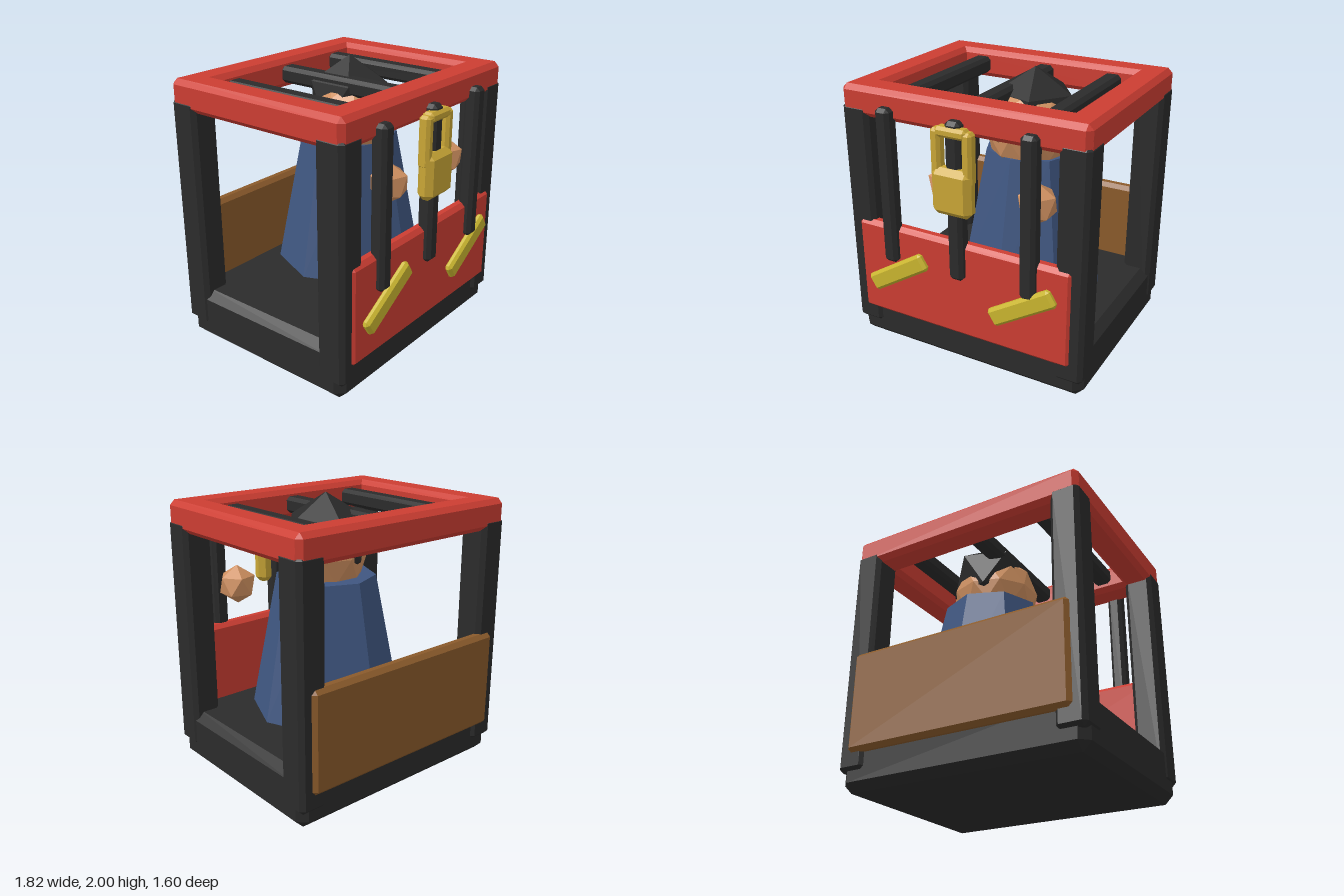
import * as THREE from 'three';
import { ConvexGeometry } from 'three/addons/geometries/ConvexGeometry.js';

const paint = (name, color) => {
  const m = new THREE.MeshStandardMaterial({ color });
  m.name = name;
  return m;
};

// Box with every edge cut at 45 degrees
function chamferBox(w, h, d, c) {
  const pts = [];
  for (const x of [-1, 1]) for (const y of [-1, 1]) for (const z of [-1, 1]) {
    const a = [x * w / 2, y * h / 2, z * d / 2];
    const b = [a[0] - x * c, a[1] - y * c, a[2] - z * c];
    pts.push(new THREE.Vector3(a[0], b[1], b[2]),
      new THREE.Vector3(b[0], a[1], b[2]),
      new THREE.Vector3(b[0], b[1], a[2]));
  }
  return new ConvexGeometry(pts);
}

// Faceted ball standing on a vertex, with one upper ring vertex towards +x
function facetBall(r, detail = 0) {
  const g = new THREE.IcosahedronGeometry(r, detail);
  g.rotateX(-Math.atan((1 + Math.sqrt(5)) / 2));
  g.rotateY(Math.PI / 2);
  g.computeVertexNormals();
  return g;
}

export function createModel() {
  const red = paint('red', 0xcc3d32);
  const black = paint('black', 0x2b2b2b);
  const brown = paint('brown', 0x8a5a2b);
  const blue = paint('blue', 0x3f5680);
  const skin = paint('skin', 0xcf9060);
  const brass = paint('brass', 0xc9a636);
  const yellow = paint('yellow', 0xc9b52f);

  const model = new THREE.Group();
  model.name = 'cagedFigure';
  const group = (name) => {
    const g = new THREE.Group();
    g.name = name;
    model.add(g);
    return g;
  };
  const add = (parent, name, geo, mat, x, y, z) => {
    const m = new THREE.Mesh(geo, mat);
    m.name = name;
    m.position.set(x, y, z);
    parent.add(m);
    return m;
  };
  // Chamfered box given by its limits on each axis
  const block = (parent, name, mat, [x0, x1], [y0, y1], [z0, z1], c) =>
    add(parent, name, chamferBox(x1 - x0, y1 - y0, z1 - z0, c), mat,
      (x0 + x1) / 2, (y0 + y1) / 2, (z0 + z1) / 2);

  // Cage base, corner posts and roof frame
  const cage = group('cage');
  block(cage, 'base', black, [-0.9, 0.9], [0, 0.39], [-0.75, 0.67], 0.06);
  for (const s of [-1, 1]) {
    const xs = [s * 0.805 - 0.105, s * 0.805 + 0.105];
    block(cage, 'frontPost', black, xs, [0.13, 1.8], [0.475, 0.693], 0.03);
    block(cage, 'backPost', black, xs, [0.13, 1.8], [-0.773, -0.555], 0.03);
    const rs = [s * 0.798 - 0.108, s * 0.798 + 0.108];
    block(cage, 'roofSide', red, rs, [1.72, 1.93], [-0.768, 0.688], 0.035);
  }
  block(cage, 'roofFront', red, [-0.905, 0.905], [1.72, 1.93], [0.47, 0.69], 0.035);
  block(cage, 'roofBack', red, [-0.905, 0.905], [1.72, 1.93], [-0.77, -0.555], 0.035);

  // Low front and back panels
  block(cage, 'frontPanel', red, [-0.83, 0.83], [0.25, 0.97], [0.61, 0.71], 0.03);
  block(cage, 'backPanel', brown, [-0.83, 0.83], [0.25, 0.97], [-0.8, -0.7], 0.03);

  // Bars across the roof and down the front
  for (const x of [-0.535, 0, 0.53]) {
    block(cage, 'roofBar', black, [x - 0.065, x + 0.065], [1.765, 1.885], [-0.57, 0.475], 0.025);
    block(cage, 'frontBar', black, [x - 0.055, x + 0.055], [0.71, 1.825], [0.645, 0.758], 0.025);
  }

  // Slanted stripes on the front panel
  for (const x of [-0.487, 0.488]) {
    const stripe = add(cage, 'stripe', chamferBox(0.53, 0.13, 0.06, 0.02), yellow, x, 0.635, 0.73);
    stripe.rotation.z = 0.56;
  }

  // Padlock
  const lock = group('padlock');
  block(lock, 'lockBody', brass, [-0.147, 0.147], [1.195, 1.52], [0.68, 0.8], 0.04);
  for (const s of [-1, 1])
    block(lock, 'shackleSide', brass, [s * 0.115 - 0.036, s * 0.115 + 0.036], [1.42, 1.775], [0.69, 0.775], 0.02);
  block(lock, 'shackleTop', brass, [-0.115, 0.115], [1.72, 1.79], [0.69, 0.778], 0.02);

  // Robed figure inside
  const figure = group('figure');
  const robe = new THREE.CylinderGeometry(0.345, 0.535, 0.97, 8).toNonIndexed();
  robe.computeVertexNormals();
  add(figure, 'robe', robe, blue, 0.143, 0.95, -0.09);
  add(figure, 'head', facetBall(0.32, 1), skin, 0.145, 1.58, -0.04);
  add(figure, 'hair', facetBall(0.31), black, 0.148, 1.69, -0.095);
  for (const x of [0.05, 0.24])
    add(figure, 'eye', facetBall(0.045), skin, x, 1.585, 0.248);
  for (const x of [-0.195, 0.482])
    add(figure, 'hand', facetBall(0.142), skin, x, 1.29, 0.51);

  return model;
}
